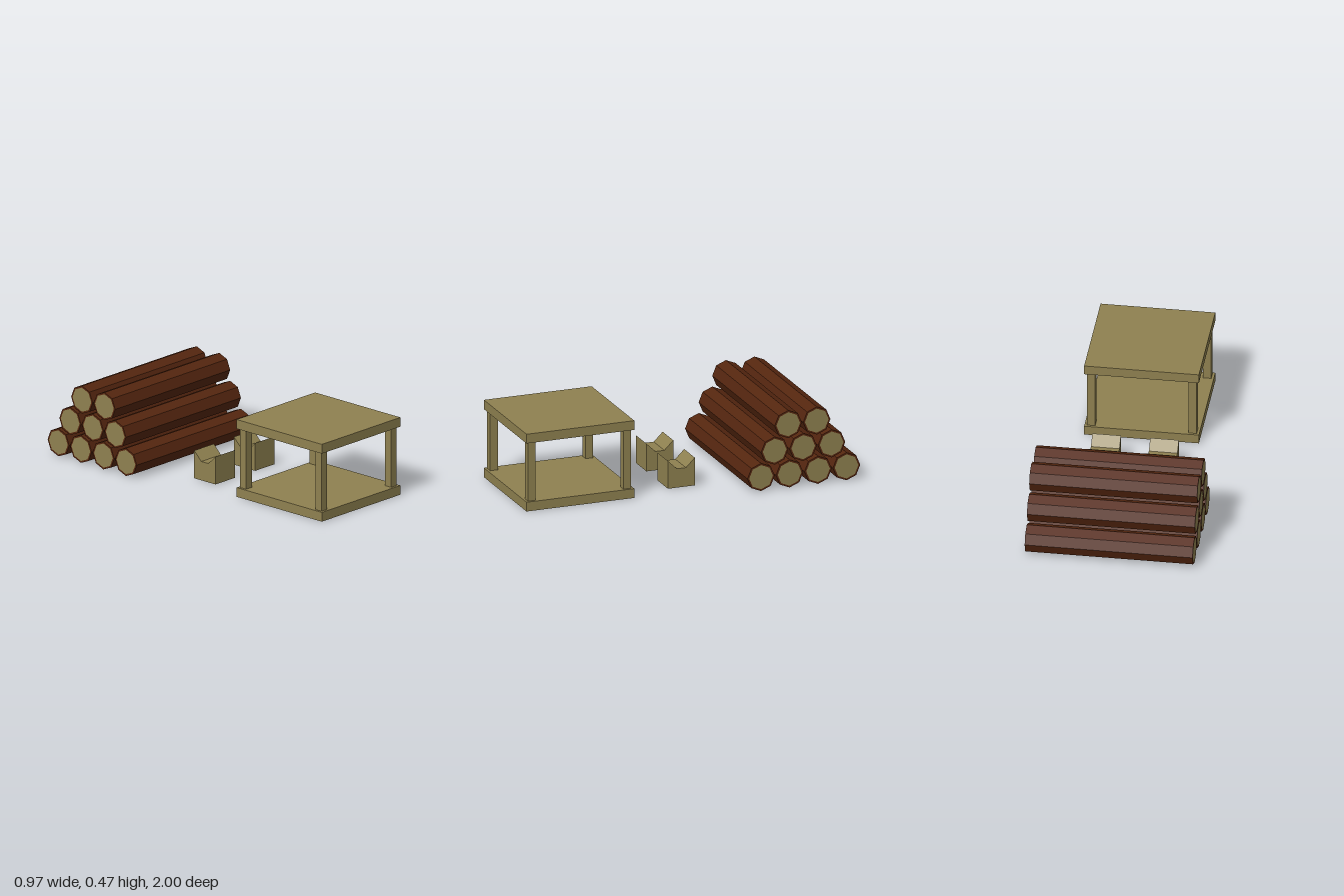
import * as THREE from 'three';
import { mergeGeometries } from 'three/addons/utils/BufferGeometryUtils.js';

export function createModel() {
  const model = new THREE.Group();
  model.name = 'firewoodSet';
  const wood = new THREE.MeshStandardMaterial({ color: 0x8f8150, flatShading: true });
  wood.name = 'paleWood';
  const bark = new THREE.MeshStandardMaterial({ color: 0x55260f, flatShading: true });
  bark.name = 'darkBark';

  const add = (parent, name, geometry, material, x = 0, y = 0, z = 0) => {
    const mesh = new THREE.Mesh(geometry, material);
    mesh.name = name;
    mesh.position.set(x, y, z);
    parent.add(mesh);
    return mesh;
  };

  // Open rack: two square slabs joined by four posts
  const rack = new THREE.Group();
  rack.name = 'rack';
  rack.position.z = 0.667;
  model.add(rack);
  const slab = new THREE.BoxGeometry(0.666, 0.056, 0.666);
  add(rack, 'baseSlab', slab, wood, 0, 0.028, 0);
  add(rack, 'topSlab', slab, wood, 0, 0.44, 0);
  const post = new THREE.BoxGeometry(0.047, 0.356, 0.047);
  for (const sx of [-1, 1]) for (const sz of [-1, 1]) {
    add(rack, 'post', post, wood, sx * 0.2945, 0.234, sz * 0.2945);
  }

  // Notched rest blocks, profile drawn in z and y
  const profile = new THREE.Shape([
    [-0.072, 0], [0.094, 0], [0.094, 0.168], [0.038, 0.114], [-0.017, 0.114], [-0.072, 0.168],
  ].map(([z, y]) => new THREE.Vector2(z, y)));
  const block = new THREE.ExtrudeGeometry(profile, { depth: 0.166, bevelEnabled: false });
  block.translate(0, 0, -0.083).rotateY(-Math.PI / 2);
  for (const s of [-1, 1]) add(model, 'restBlock', block, wood, s * 0.168);

  // Log: eight-sided bark with a rim around each pale cut end
  const R = 0.084, INNER = 0.073, HALF = 0.487;
  const atEnds = (make) => [-1, 1].map((s) =>
    make().rotateY(s * Math.PI / 2).translate(s * HALF, 0, 0));
  const barkGeometry = mergeGeometries([
    new THREE.CylinderGeometry(R, R, HALF * 2, 8, 1, true).rotateZ(Math.PI / 2),
    ...atEnds(() => new THREE.RingGeometry(INNER, R, 8)),
  ]);
  const cutGeometry = mergeGeometries(atEnds(() => new THREE.CircleGeometry(INNER, 8)));

  // Stack the logs in rows of four, three and two
  const stack = new THREE.Group();
  stack.name = 'logStack';
  model.add(stack);
  for (let row = 0; row < 3; row++) {
    for (let i = 0; i < 4 - row; i++) {
      const log = new THREE.Group();
      log.name = 'log';
      log.position.set(0, R + row * 0.15, -0.388 - row * 0.084 - i * 0.176);
      add(log, 'bark', barkGeometry, bark);
      add(log, 'cutEnds', cutGeometry, wood);
      stack.add(log);
    }
  }
  return model;
}
